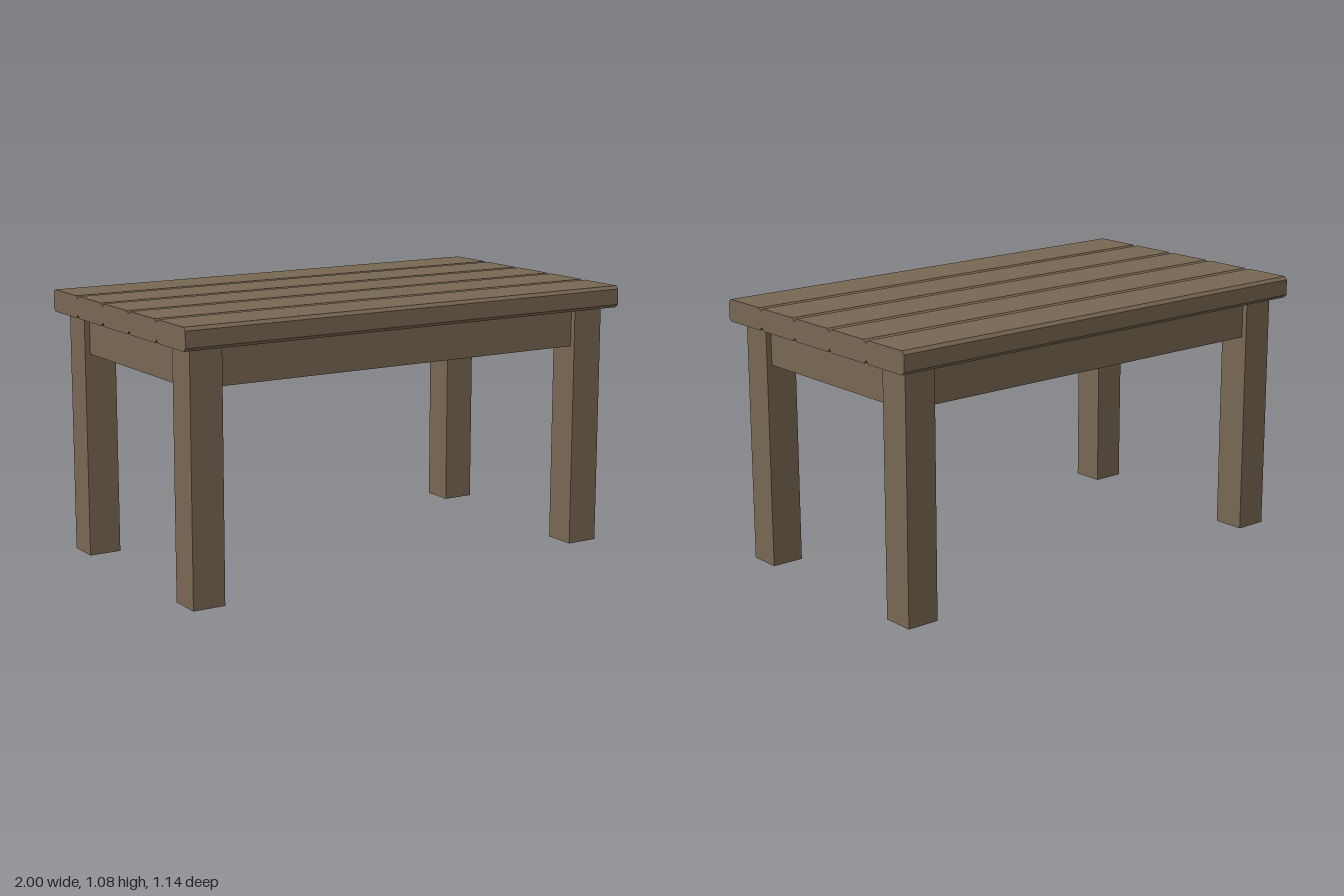
import * as THREE from 'three';

const LENGTH = 2, TOP = 1.08, UNDER = 0.99, HALF_DEPTH = 0.57;
const PLANKS = 5, BEVEL = 0.013;
const LEG = 0.135, LEG_X = 0.888, LEG_Z = 0.448;
const APRON_BOTTOM = 0.835, APRON_THICK = 0.09;

// Bevelled plank section, swept along x and centred on the origin
function plankGeometry(width, height) {
  const w = width / 2, h = height / 2, b = BEVEL;
  const section = new THREE.Shape([
    [-w + b, -h], [w - b, -h], [w, -h + b], [w, h - b],
    [w - b, h], [-w + b, h], [-w, h - b], [-w, -h + b],
  ].map(([x, y]) => new THREE.Vector2(x, y)));
  return new THREE.ExtrudeGeometry(section, { depth: LENGTH, bevelEnabled: false })
    .translate(0, 0, -LENGTH / 2)
    .rotateY(Math.PI / 2);
}

export function createModel() {
  const table = new THREE.Group();
  table.name = 'table';
  const wood = new THREE.MeshStandardMaterial({ color: 0x786753 });
  wood.name = 'brown wood';

  const add = (name, geometry, x, y, z) => {
    const mesh = new THREE.Mesh(geometry, wood);
    mesh.name = name;
    mesh.position.set(x, y, z);
    table.add(mesh);
  };

  // Table top: planks side by side with V grooves between them
  const width = (2 * HALF_DEPTH) / PLANKS;
  const plank = plankGeometry(width, TOP - UNDER);
  for (let i = 0; i < PLANKS; i++) {
    add('topPlank', plank, 0, (TOP + UNDER) / 2, (i - (PLANKS - 1) / 2) * width);
  }

  // Square legs at the corners
  const leg = new THREE.BoxGeometry(LEG, UNDER, LEG);
  for (const sx of [-1, 1]) {
    for (const sz of [-1, 1]) add('leg', leg, sx * LEG_X, UNDER / 2, sz * LEG_Z);
  }

  // Aprons between the legs, slightly thinner than the legs
  const height = UNDER - APRON_BOTTOM, apronY = (UNDER + APRON_BOTTOM) / 2;
  const longApron = new THREE.BoxGeometry(2 * LEG_X - LEG, height, APRON_THICK);
  const shortApron = new THREE.BoxGeometry(APRON_THICK, height, 2 * LEG_Z - LEG);
  for (const s of [-1, 1]) {
    add('longApron', longApron, 0, apronY, s * LEG_Z);
    add('shortApron', shortApron, s * LEG_X, apronY, 0);
  }

  return table;
}
